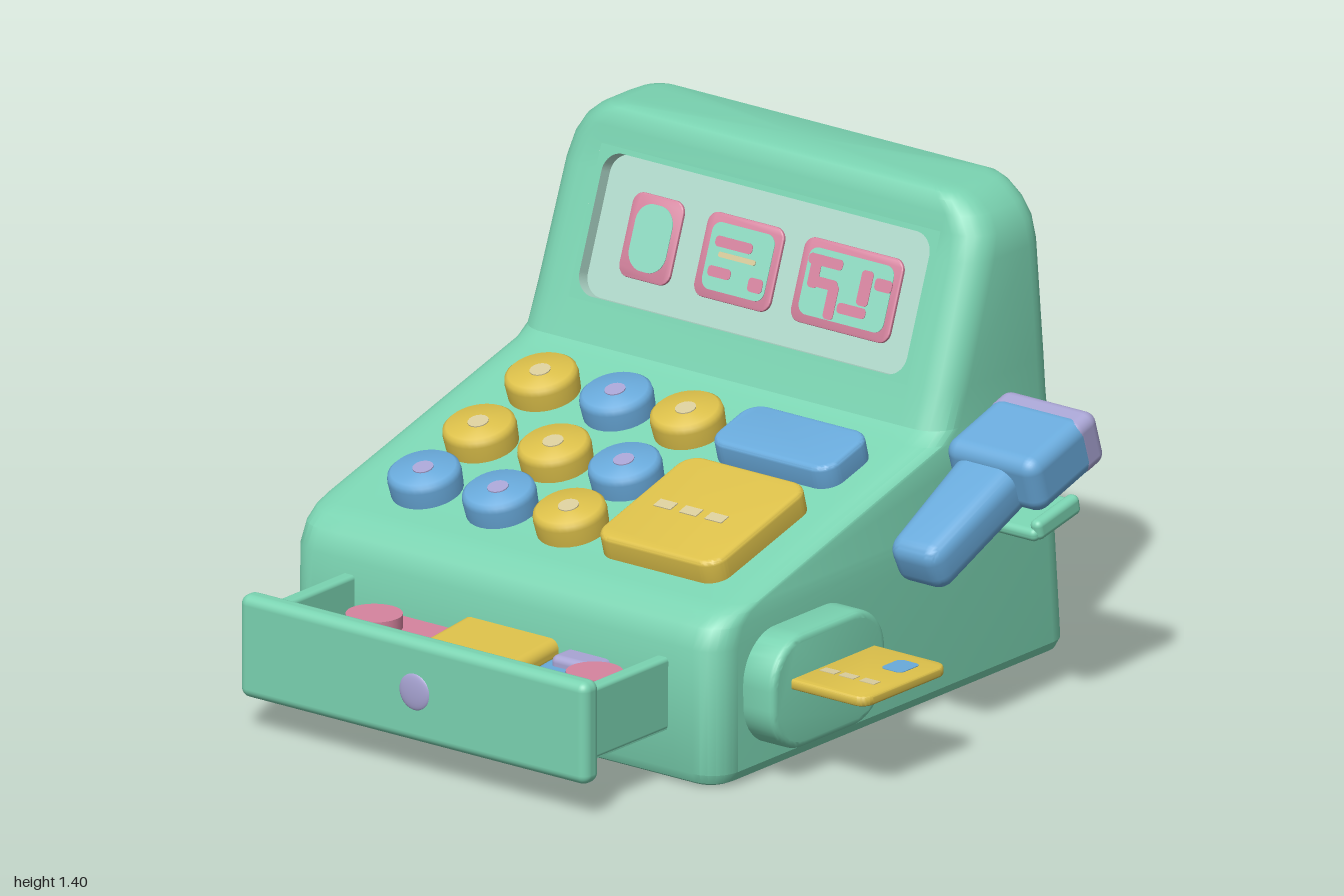
import * as THREE from 'three';
import { toCreasedNormals } from 'three/addons/utils/BufferGeometryUtils.js';
import { RoundedBoxGeometry } from 'three/addons/geometries/RoundedBoxGeometry.js';

const mat = (name, color) => {
  const m = new THREE.MeshStandardMaterial({ color });
  m.name = name;
  return m;
};

export function createModel() {
  const green = mat('mint green', 0x7ad3b1), pale = mat('pale mint', 0xb2dccd);
  const aqua = mat('light aqua', 0x8fdcc2), pink = mat('pink', 0xd6849f);
  const blue = mat('blue', 0x69aadb), yellow = mat('yellow', 0xdcc04a);
  const lavender = mat('lavender', 0xa8a4d3), cream = mat('cream', 0xd9cc9c);

  const root = new THREE.Group();
  root.name = 'toyCashRegister';

  const add = (parent, name, geo, material, x = 0, y = 0, z = 0, rx = 0, ry = 0) => {
    const m = new THREE.Mesh(geo, material);
    m.name = name;
    m.position.set(x, y, z);
    m.rotation.set(rx, ry, 0);
    parent.add(m);
    return m;
  };
  const group = (name, x, y, z, rx = 0) => {
    const g = new THREE.Group();
    g.name = name;
    g.position.set(x, y, z);
    g.rotation.x = rx;
    root.add(g);
    return g;
  };
  const rbox = (w, h, d, r) => new RoundedBoxGeometry(w, h, d, 4, r);

  // Rounded rectangle outline, centred on the origin
  const rrect = (w, h, r, Type = THREE.Shape) => {
    const s = new Type(), a = w / 2, b = h / 2;
    s.moveTo(-a + r, -b);
    s.lineTo(a - r, -b).absarc(a - r, -b + r, r, -Math.PI / 2, 0);
    s.lineTo(a, b - r).absarc(a - r, b - r, r, 0, Math.PI / 2);
    s.lineTo(-a + r, b).absarc(-a + r, b - r, r, Math.PI / 2, Math.PI);
    s.lineTo(-a, -b + r).absarc(-a + r, -b + r, r, Math.PI, Math.PI * 1.5);
    return s;
  };
  // Rounded plate with softened edges, from z = 0 to z = t
  const plate = (w, h, r, t, bevel = 0) => {
    const g = new THREE.ExtrudeGeometry(rrect(w - 2 * bevel, h - 2 * bevel, r - bevel), {
      depth: t - 2 * bevel, bevelEnabled: bevel > 0, bevelSize: bevel,
      bevelThickness: bevel, bevelSegments: 4, curveSegments: 8 });
    g.translate(0, 0, bevel);
    return toCreasedNormals(g, 0.6);
  };

  // Body: horizontal slices as [y, front z, back z, half width, corner radius]
  const rows = [
    [0, 0.545, -0.96, 0.725, 0.06], [0.012, 0.567, -0.985, 0.75, 0.075],
    [0.04, 0.58, -1, 0.765, 0.09], [0.4, 0.576, -0.975, 0.762, 0.09],
    [0.46, 0.55, -0.971, 0.76, 0.09], [0.492, 0.51, -0.968, 0.759, 0.09],
    [0.51, 0.46, -0.967, 0.758, 0.09], [0.74, -0.37, -0.953, 0.753, 0.09],
    [0.775, -0.42, -0.95, 0.752, 0.09], [0.88, -0.462, -0.944, 0.75, 0.09],
    [1.22, -0.5847, -0.918, 0.745, 0.09], [1.29, -0.61, -0.912, 0.733, 0.09],
    [1.34, -0.62, -0.907, 0.703, 0.09], [1.375, -0.63, -0.9, 0.66, 0.08],
    [1.392, -0.643, -0.888, 0.625, 0.065], [1.4, -0.66, -0.87, 0.585, 0.05]];
  const cx = -0.205, seg = 6, pos = [], idx = [];
  for (const [y, zf, zb, hw, r] of rows) {
    pos.push(Math.max(-0.8, cx - hw + r), y, zf, Math.min(0.4, cx + hw - r), y, zf);
    for (let k = 0; k < 4; k++) for (let s = 0; s <= seg; s++) {
      const t = Math.PI / 2 * (1 - k - s / seg);
      const ox = cx + (k < 2 ? hw - r : r - hw);
      const oz = k === 0 || k === 3 ? zf - r : zb + r;
      pos.push(ox + r * Math.cos(t), y, oz + r * Math.sin(t));
    }
  }
  const n = 2 + 4 * (seg + 1), last = (rows.length - 1) * n;
  for (let i = 0; i < rows.length - 1; i++) for (let j = 0; j < n; j++) {
    if (j === 0 && (i === 9 || i === 10)) continue; // display opening
    const a = i * n + j, b = i * n + (j + 1) % n;
    idx.push(a, b, b + n, a, b + n, a + n);
  }
  const base = pos.length / 3;
  pos.push(cx, 0, -0.2, cx, 1.4, -0.76);
  for (let j = 0; j < n; j++) {
    const k = (j + 1) % n;
    idx.push(base, k, j, base + 1, last + j, last + k);
  }
  const bodyGeo = new THREE.BufferGeometry();
  bodyGeo.setAttribute('position', new THREE.Float32BufferAttribute(pos, 3));
  bodyGeo.setIndex(idx);
  add(root, 'body', toCreasedNormals(bodyGeo, 0.5), green);

  // Recessed display
  const display = group('display', -0.2, 1.085, -0.536, -Math.atan(0.361));
  const frame = rrect(1.2, 0.436, 0.001);
  frame.holes.push(rrect(1.16, 0.405, 0.06, THREE.Path));
  const frameGeo = new THREE.ExtrudeGeometry(frame, { depth: 0.045, bevelEnabled: false });
  add(display, 'displayFrame', frameGeo, [green, pale], 0, 0, -0.045);
  add(display, 'displayPanel', new THREE.BoxGeometry(1.19, 0.43, 0.01), pale, 0, 0, -0.045);
  for (const [x, w] of [[-0.385, 0.18], [-0.075, 0.27], [0.3075, 0.35]]) {
    add(display, 'windowRim', plate(w, 0.24, 0.035, 0.012, 0.004), pink, x, -0.007, -0.04);
    add(display, 'windowFace', plate(w - 0.05, 0.19, w < 0.2 ? 0.055 : 0.03, 0.004), aqua, x, -0.007, -0.03);
  }
  // Abstract pink patches on the window faces: x, y, width, height
  for (const [x, y, w, h] of [[-0.1, 0.035, 0.13, 0.03], [-0.13, -0.05, 0.08, 0.03], [0, -0.06, 0.05, 0.04],
    [0.22, 0.055, 0.12, 0.03], [0.19, 0.02, 0.035, 0.09], [0.23, -0.005, 0.09, 0.03], [0.265, -0.05, 0.035, 0.1],
    [0.34, -0.06, 0.1, 0.03], [0.37, 0.01, 0.04, 0.1], [0.43, 0.03, 0.06, 0.035]])
    add(display, 'windowPatch', plate(w, h, 0.012, 0.003), pink, x, y, -0.027);
  add(display, 'windowStreak', plate(0.13, 0.015, 0.006, 0.003), cream, -0.08, 0, -0.026);

  // Keys on the sloping deck
  const tilt = 0.275, deckY = z => 0.51 + (0.46 - z) * 0.277;
  const keyGeo = new THREE.LatheGeometry([[0.1, -0.03], [0.105, 0.06], [0.102, 0.075], [0.092, 0.083], [0, 0.084]]
    .map(p => new THREE.Vector2(...p)), 32);
  const roundKey = toCreasedNormals(keyGeo, 0.9);
  [-0.19, 0.085, 0.33].forEach((z, r) => [-0.68, -0.415, -0.165].forEach((x, c) => {
    const isYellow = [[1, 0, 1], [1, 1, 0], [0, 0, 1]][r][c];
    const key = group('roundKey', x, deckY(z + 0.02), z - 0.02, tilt);
    add(key, 'keyCap', roundKey, isYellow ? yellow : blue);
    add(key, 'keyMark', new THREE.CylinderGeometry(0.03, 0.03, 0.004, 16), isYellow ? cream : lavender, 0, 0.085, 0);
  }));
  const wide = group('wideKey', 0.2, deckY(-0.17), -0.21, tilt);
  add(wide, 'wideKeyCap', plate(0.43, 0.215, 0.06, 0.11, 0.015), blue, 0, -0.03, 0, -Math.PI / 2);
  const pad = group('largeKey', 0.2, deckY(0.22), 0.18, tilt);
  add(pad, 'largeKeyCap', plate(0.435, 0.45, 0.06, 0.11, 0.015), yellow, 0, -0.03, 0, -Math.PI / 2);
  for (const x of [-0.11, -0.02, 0.07])
    add(pad, 'largeKeyMark', new THREE.BoxGeometry(0.06, 0.004, 0.035), cream, x, 0.081, 0.02);

  // Open drawer and its contents
  const drawer = group('drawer', -0.195, 0, 0);
  add(drawer, 'drawerFront', rbox(1.23, 0.3, 0.07, 0.028), green, 0, 0.25, 0.957);
  add(drawer, 'drawerFloor', new THREE.BoxGeometry(1.15, 0.03, 0.42), green, 0, 0.165, 0.74);
  for (const s of [-1, 1])
    add(drawer, 'drawerSide', rbox(0.045, 0.21, 0.42, 0.012), green, s * 0.555, 0.255, 0.74);
  add(drawer, 'drawerKnob', new THREE.SphereGeometry(0.054, 24, 16), lavender, 0.01, 0.25, 0.99).scale.z = 0.2;
  add(root, 'pinkNote', rbox(0.33, 0.08, 0.28, 0.02), pink, -0.475, 0.24, 0.65);
  add(root, 'yellowNote', rbox(0.34, 0.07, 0.42, 0.03), yellow, -0.175, 0.28, 0.705, 0.1);
  add(root, 'blueNote', rbox(0.28, 0.08, 0.32, 0.03), blue, 0.13, 0.24, 0.68, 0, 0.2);
  add(root, 'lavenderNote', rbox(0.16, 0.05, 0.1, 0.02), lavender, 0.1, 0.285, 0.6);
  for (const x of [-0.56, 0.22])
    add(root, 'coin', new THREE.CylinderGeometry(0.08, 0.08, 0.05, 28), pink, x, 0.295, 0.7);

  // Card reader and card
  add(root, 'cardReader', plate(0.505, 0.335, 0.14, 0.125, 0.02), green, 0.54, 0.257, 0.212, 0, Math.PI / 2);
  add(root, 'card', plate(0.3, 0.375, 0.04, 0.03, 0.008), yellow, 0.775, 0.275, 0.197, -Math.PI / 2);
  add(root, 'cardChip', plate(0.075, 0.09, 0.018, 0.004), blue, 0.832, 0.303, 0.11, -Math.PI / 2);
  for (const x of [0.705, 0.772, 0.845])
    add(root, 'cardMark', new THREE.BoxGeometry(0.052, 0.004, 0.03), cream, x, 0.305, 0.262);

  // Scanner cradle with upturned end
  add(root, 'scannerCradle', rbox(0.38, 0.04, 0.21, 0.018), green, 0.73, 0.588, -0.48, 0.2);
  add(root, 'cradleLip', rbox(0.04, 0.06, 0.19, 0.018), green, 0.91, 0.6, -0.48, 0.2);

  // Handheld scanner
  const scanner = group('scanner', 0.8, 0.77, -0.49, 0.3);
  add(scanner, 'scannerHead', rbox(0.325, 0.175, 0.27, 0.045), blue, 0, 0, 0.03);
  add(scanner, 'scannerNose', rbox(0.325, 0.168, 0.11, 0.035), lavender, 0, 0, -0.09);
  const handle = rbox(0.2, 0.15, 0.44, 0.05), p = handle.attributes.position;
  for (let i = 0; i < p.count; i++) p.setX(i, p.getX(i) * (1 - 0.55 * p.getZ(i)));
  handle.computeVertexNormals();
  add(root, 'scannerHandle', toCreasedNormals(handle, 0.7), blue, 0.78, 0.635, -0.215, 0.45);

  return root;
}
